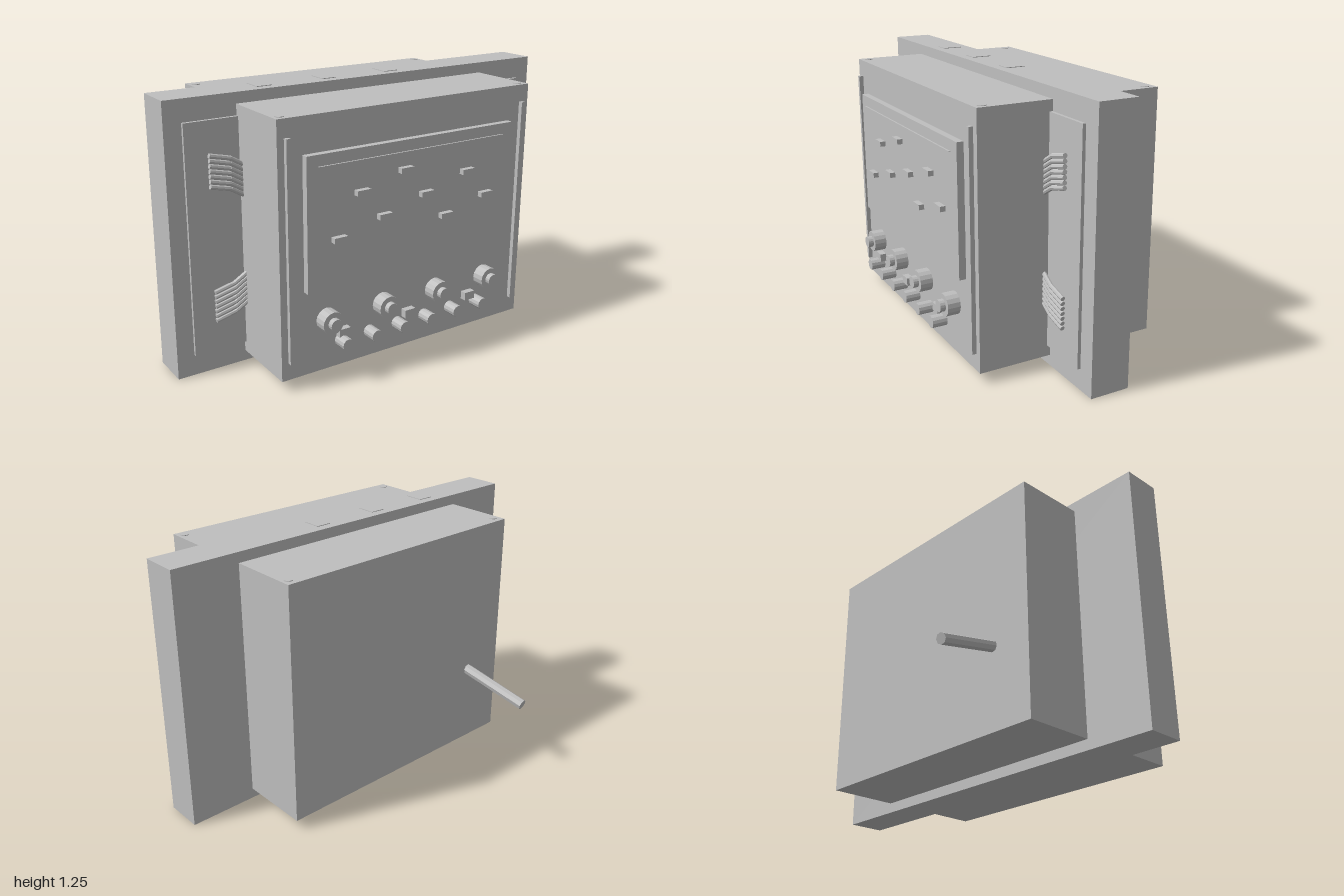
import * as THREE from 'three';

export function createModel() {
  const model = new THREE.Group();
  model.name = 'controlBox';
  const grey = new THREE.MeshStandardMaterial({ color: 0xbfbfbf, flatShading: true });
  grey.name = 'light grey';

  const add = (name, geometry) => {
    const mesh = new THREE.Mesh(geometry, grey);
    mesh.name = name;
    model.add(mesh);
    return mesh;
  };
  // Box given by its limits on each axis
  const box = (name, x0, x1, y0, y1, z0, z1) =>
    add(name, new THREE.BoxGeometry(x1 - x0, y1 - y0, z1 - z0))
      .position.set((x0 + x1) / 2, (y0 + y1) / 2, (z0 + z1) / 2);
  // Cylinder between two points
  const rod = (name, a, b, radius, sides) => {
    const from = new THREE.Vector3(...a), to = new THREE.Vector3(...b);
    const dir = to.clone().sub(from);
    const mesh = add(name, new THREE.CylinderGeometry(radius, radius, dir.length(), sides));
    mesh.position.copy(from).add(to).multiplyScalar(0.5);
    mesh.quaternion.setFromUnitVectors(new THREE.Vector3(0, 1, 0), dir.normalize());
  };

  // Wall plate, its raised face and the main housing
  box('wallPlate', -1, 1, 0, 1.25, 0.03, 0.215);
  box('raisedPlate', -0.92, 0.915, 0.1, 1.15, 0.2, 0.23);
  box('housing', -0.67, 0.67, 0.05, 1.2, -0.315, 0.56);

  // Display with a thin ledge and small blocks
  box('display', -0.555, 0.55, 0.44, 1.04, 0.55, 0.592);
  box('displayLedge', -0.5, 0.49, 0.988, 0.99, 0.59, 0.6);
  const blocks = [[-0.405, 0.663], [-0.29, 0.85], [-0.175, 0.723], [-0.065, 0.912],
    [0.05, 0.785], [0.165, 0.663], [0.28, 0.85], [0.395, 0.723]];
  for (const [x, y] of blocks)
    box('displayBlock', x - 0.033, x + 0.033, y - 0.012, y + 0.012, 0.592, 0.618);

  // Dials
  for (const x of [-0.445, -0.15, 0.145, 0.44]) {
    rod('dialBase', [x, 0.29, 0.56], [x, 0.29, 0.62], 0.052, 16);
    rod('dialCap', [x, 0.29, 0.61], [x, 0.29, 0.645], 0.028, 16);
  }
  // Row of round buttons and square keys
  for (let i = 0; i < 6; i++) {
    const x = -0.39 + i * 0.1525;
    rod('button', [x, 0.187, 0.583], [x, 0.187, 0.653], 0.028, 12);
  }
  for (const x of [-0.38, -0.027, 0.325])
    box('key', x - 0.028, x + 0.028, 0.207, 0.245, 0.58, 0.61);

  // Trim strips and bent cables on both sides
  for (const s of [-1, 1]) {
    box('trimStrip', s * 0.628 - 0.01, s * 0.628 + 0.01, 0.13, 1.12, 0.55, 0.58);
    for (const v of [-1, 1]) {
      for (let i = 0; i < 7; i++) {
        const point = (x, y) => [s * x, 0.627 + v * (y - i * 0.0225 - 0.627), 0.247];
        const bend = point(0.725, 0.98);
        rod('cableInner', point(0.655, 0.938), bend, 0.011, 8);
        rod('cableOuter', bend, point(0.82, 1.003), 0.011, 8);
      }
    }
    // Screws on top of the housing
    for (const z of [0.52, -0.27])
      rod('topScrew', [s * 0.635, 1.195, z], [s * 0.635, 1.203, z], 0.02, 12);
  }

  // Thin tabs on the top edge of the plate
  for (const x of [-0.51, -0.18, 0.16])
    box('topTab', x - 0.037, x + 0.037, 1.245, 1.253, 0.075, 0.17);

  // Slanted rear lever
  rod('rearLever', [-0.45, 0.457, -0.27], [-0.497, 0.357, -0.645], 0.026, 8);

  return model;
}
